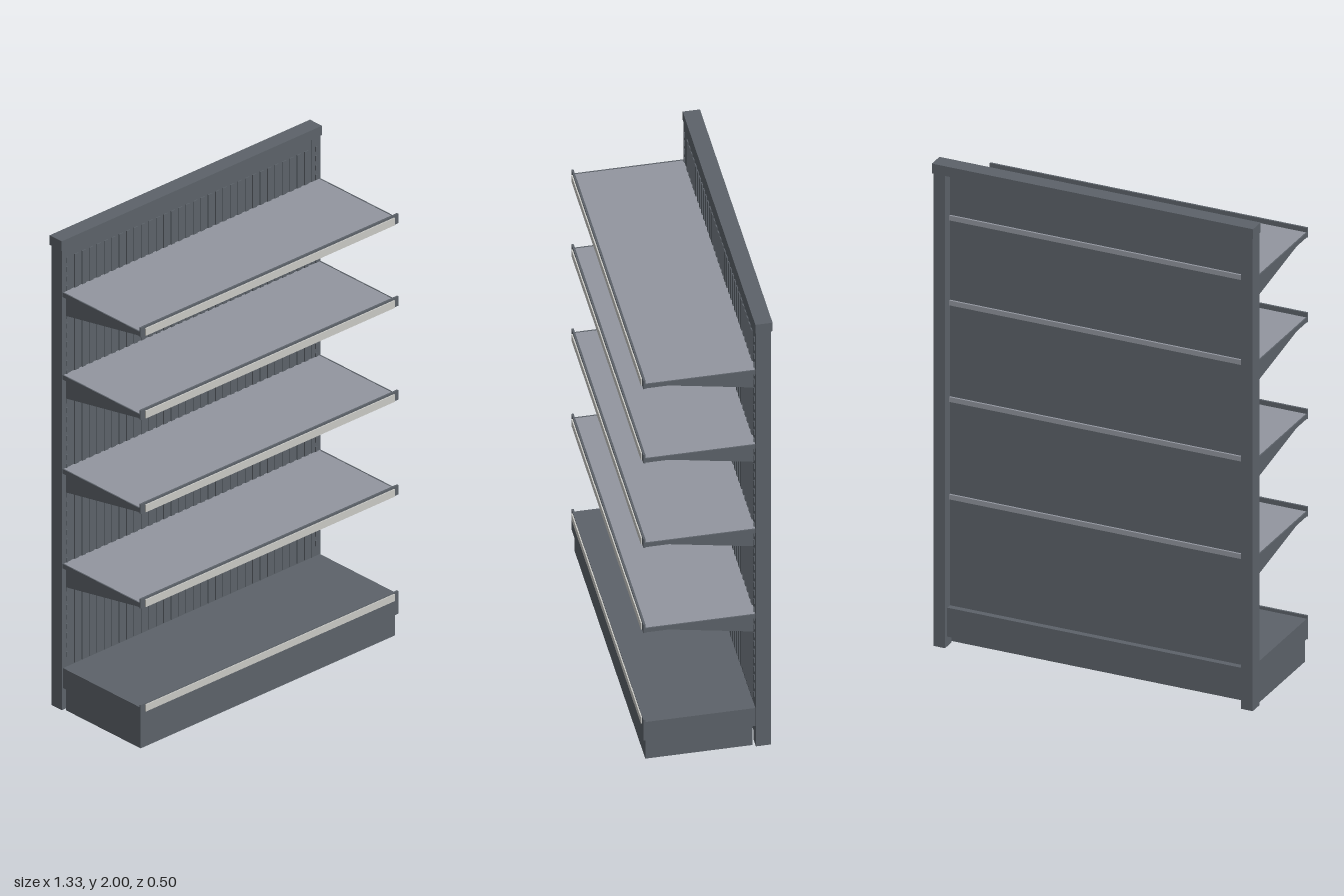
import * as THREE from 'three';

const mat = (name, color) => {
  const m = new THREE.MeshStandardMaterial({ color });
  m.name = name;
  return m;
};

export function createModel() {
  const root = new THREE.Group();
  root.name = 'gondolaShelving';
  const frame = mat('darkGreyMetal', 0x5c6269);
  const deckGrey = mat('lightGreyMetal', 0x92969f);
  const label = mat('paleLabelStrip', 0xc8c8c4);

  // Box given by its min and max along each axis
  const box = (parent, name, m, x0, x1, y0, y1, z0, z1) => {
    const mesh = new THREE.Mesh(new THREE.BoxGeometry(x1 - x0, y1 - y0, z1 - z0), m);
    mesh.position.set((x0 + x1) / 2, (y0 + y1) / 2, (z0 + z1) / 2);
    mesh.name = name;
    parent.add(mesh);
    return mesh;
  };

  // Back frame: posts, cap, panel and lower rail
  const back = new THREE.Group();
  back.name = 'backFrame';
  root.add(back);
  for (const s of [-1, 1]) {
    const xs = [s * 0.615, s * 0.663].sort((a, b) => a - b);
    box(back, 'post', frame, xs[0], xs[1], 0, 1.96, -0.243, -0.186);
    // Hook tabs up the front of each post
    for (let y = 0.22; y < 1.93; y += 0.04) {
      box(back, 'postTab', frame, s * 0.639 - 0.004, s * 0.639 + 0.004, y, y + 0.022, -0.187, -0.182);
    }
  }
  box(back, 'topCap', frame, -0.667, 0.667, 1.96, 2, -0.249, -0.183);
  box(back, 'backPanel', frame, -0.615, 0.615, 0.04, 1.96, -0.2, -0.187);
  box(back, 'lowerRail', frame, -0.615, 0.615, 0.04, 0.16, -0.224, -0.2);

  // Vertical ribs on the front of the panel
  const ribs = 32;
  for (let i = 0; i < ribs; i++) {
    const x = -0.589 + (1.178 * i) / (ribs - 1);
    box(back, 'panelRib', frame, x - 0.01, x + 0.01, 0.18, 1.92, -0.188, -0.183);
  }

  // Tapered bracket plate, drawn in (z, y) and extruded across x
  const bracketShape = new THREE.Shape([
    new THREE.Vector2(-0.185, -0.018),
    new THREE.Vector2(-0.185, -0.105),
    new THREE.Vector2(0.215, -0.03),
    new THREE.Vector2(0.215, -0.018),
  ]);
  const bracketGeo = new THREE.ExtrudeGeometry(bracketShape, { depth: 0.01, bevelEnabled: false });
  bracketGeo.rotateY(-Math.PI / 2); // shape x -> +z, depth -> -x
  bracketGeo.translate(0.005, 0, 0);

  // Shelves, each built around its deck height
  for (const y of [0.622, 1.026, 1.426, 1.778]) {
    const shelf = new THREE.Group();
    shelf.name = 'shelf';
    shelf.position.y = y;
    root.add(shelf);
    box(shelf, 'deck', deckGrey, -0.655, 0.655, -0.018, 0, -0.185, 0.237);
    box(shelf, 'deckRearFlange', deckGrey, -0.615, 0.615, -0.02, 0, -0.208, -0.185);
    for (const s of [-1, 1]) {
      box(shelf, 'sideEdge', frame, s * 0.6575 - 0.0025, s * 0.6575 + 0.0025, -0.018, 0.001, -0.185, 0.237);
      box(shelf, 'underRib', deckGrey, s * 0.333 - 0.01, s * 0.333 + 0.01, -0.026, -0.018, -0.18, 0.22);
    }
    box(shelf, 'frontLip', frame, -0.66, 0.66, -0.021, 0.019, 0.236, 0.244);
    box(shelf, 'labelStrip', label, -0.638, 0.638, -0.02, 0.011, 0.244, 0.249);
    for (const x of [-0.638, 0.622]) {
      const bracket = new THREE.Mesh(bracketGeo, frame);
      bracket.name = 'bracket';
      bracket.position.x = x;
      shelf.add(bracket);
    }
  }

  // Base plinth with its own deck, lip and label strip
  const base = new THREE.Group();
  base.name = 'base';
  root.add(base);
  box(base, 'plinth', frame, -0.652, 0.652, 0, 0.095, -0.175, 0.235);
  box(base, 'baseDeck', frame, -0.658, 0.658, 0.093, 0.178, -0.185, 0.237);
  box(base, 'baseLip', frame, -0.66, 0.66, 0.093, 0.19, 0.236, 0.244);
  box(base, 'baseLabelStrip', label, -0.638, 0.638, 0.157, 0.186, 0.244, 0.249);

  return root;
}
